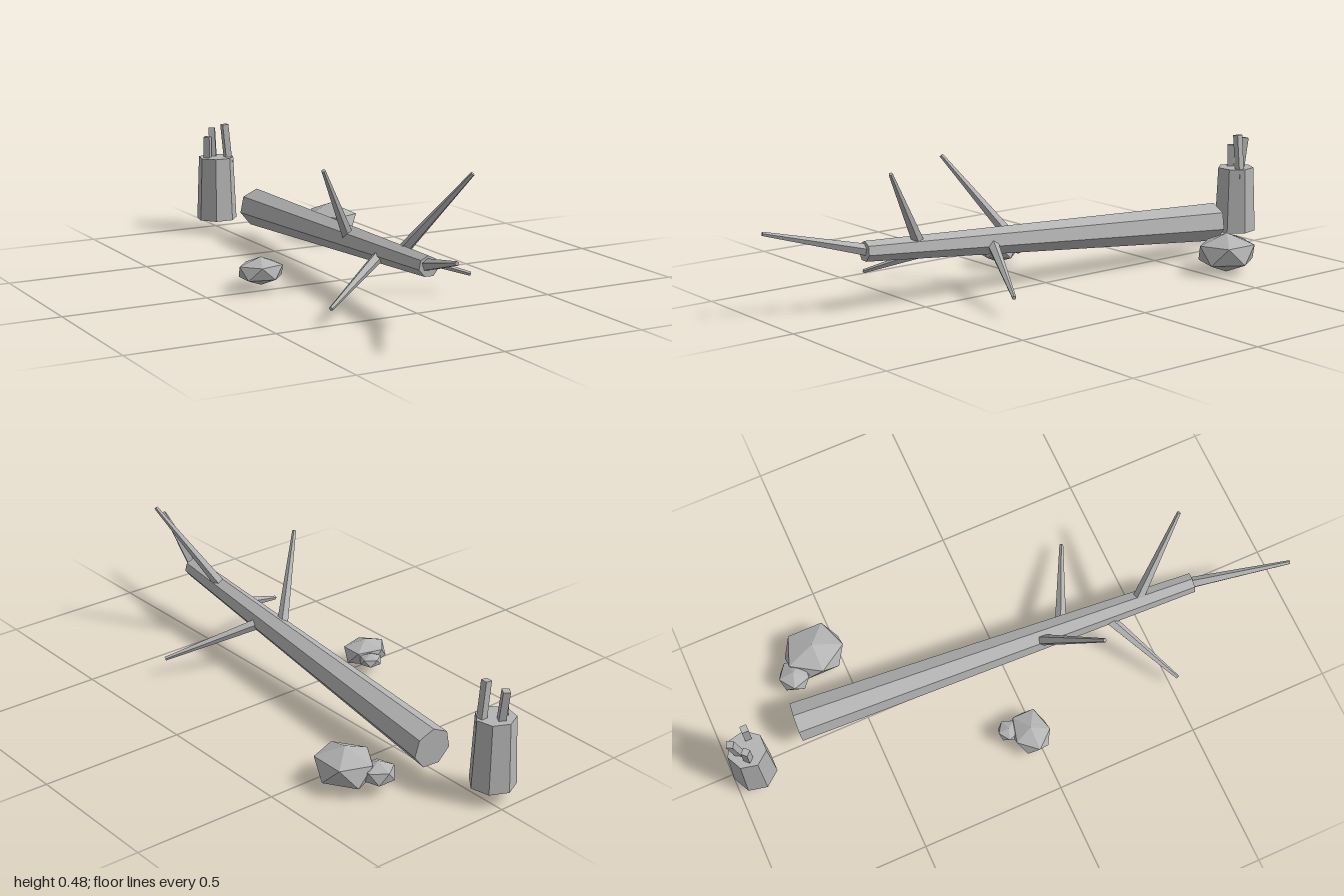
import * as THREE from 'three';

const grey = new THREE.MeshStandardMaterial({ color: 0xb4b4b4, flatShading: true });
grey.name = 'weathered grey';

// Tapered prism running from point a to point b, with one ridge on its upper side
function limb(name, a, b, rBase, rTip, sides, roll = 0) {
  const from = new THREE.Vector3(...a);
  const to = new THREE.Vector3(...b);
  const geo = new THREE.CylinderGeometry(rBase, rTip, from.distanceTo(to), sides);
  geo.rotateX(-Math.PI / 2).rotateZ(roll);
  const mesh = new THREE.Mesh(geo, grey);
  mesh.name = name;
  mesh.position.copy(from).lerp(to, 0.5);
  mesh.lookAt(to);
  return mesh;
}

// Squashed icosahedron standing on a corner
function rock(name, centre, size, yaw) {
  const geo = new THREE.IcosahedronGeometry(1, 0);
  geo.rotateZ(-Math.atan(2 / (1 + Math.sqrt(5))));
  geo.rotateY(yaw);
  geo.scale(...size);
  const mesh = new THREE.Mesh(geo, grey);
  mesh.name = name;
  mesh.position.set(...centre);
  return mesh;
}

export function createModel() {
  const model = new THREE.Group();
  model.name = 'fallenTree';

  // Fallen trunk, thick end at the back
  model.add(limb('trunk', [0.048, 0.118, -0.735], [-0.072, 0.201, 0.685], 0.069, 0.034, 7));

  // Bare branches: base and tip
  const branches = [
    [[-0.068, 0.2, 0.66], [-0.169, 0.286, 0.998]],
    [[-0.055, 0.2, 0.485], [0.082, 0.474, 0.685]],
    [[-0.035, 0.17, 0.12], [-0.215, 0.443, 0.275]],
    [[-0.05, 0.18, 0.365], [-0.322, 0.062, 0.522]],
    [[-0.03, 0.175, 0.21], [0.286, 0.068, 0.363]],
  ];
  const branchGroup = new THREE.Group();
  branchGroup.name = 'branches';
  branches.forEach(([a, b], i) => branchGroup.add(limb('branch' + (i + 1), a, b, 0.021, 0.007, 5)));
  model.add(branchGroup);

  // Broken stump with splinters on top
  const stump = new THREE.Group();
  stump.name = 'stump';
  const base = new THREE.Mesh(new THREE.CylinderGeometry(0.066, 0.076, 0.235, 7), grey);
  base.name = 'stumpBase';
  base.rotation.y = Math.PI;
  base.position.set(-0.03, 0.1675, -0.924);
  stump.add(base);
  stump.add(limb('splinter1', [-0.062, 0.25, -0.93], [-0.062, 0.363, -0.93], 0.0165, 0.0165, 4));
  stump.add(limb('splinter2', [-0.03, 0.25, -0.945], [-0.027, 0.39, -0.966], 0.0165, 0.0165, 4, 0.4));
  stump.add(limb('splinter3', [0.013, 0.25, -0.905], [-0.003, 0.409, -0.905], 0.0165, 0.0165, 4, Math.PI / 4));
  model.add(stump);

  // Two pairs of rocks
  model.add(rock('rightRock', [-0.293, 0.065, -0.02], [0.087, 0.048, 0.072], Math.PI / 5));
  model.add(rock('rightSmallRock', [-0.26, 0.067, -0.087], [0.042, 0.025, 0.04], 0.3));
  model.add(rock('leftRock', [0.275, 0.071, -0.583], [0.103, 0.069, 0.117], Math.PI / 5));
  model.add(rock('leftSmallRock', [0.22, 0.067, -0.677], [0.06, 0.042, 0.06], 0.3));

  return model;
}
